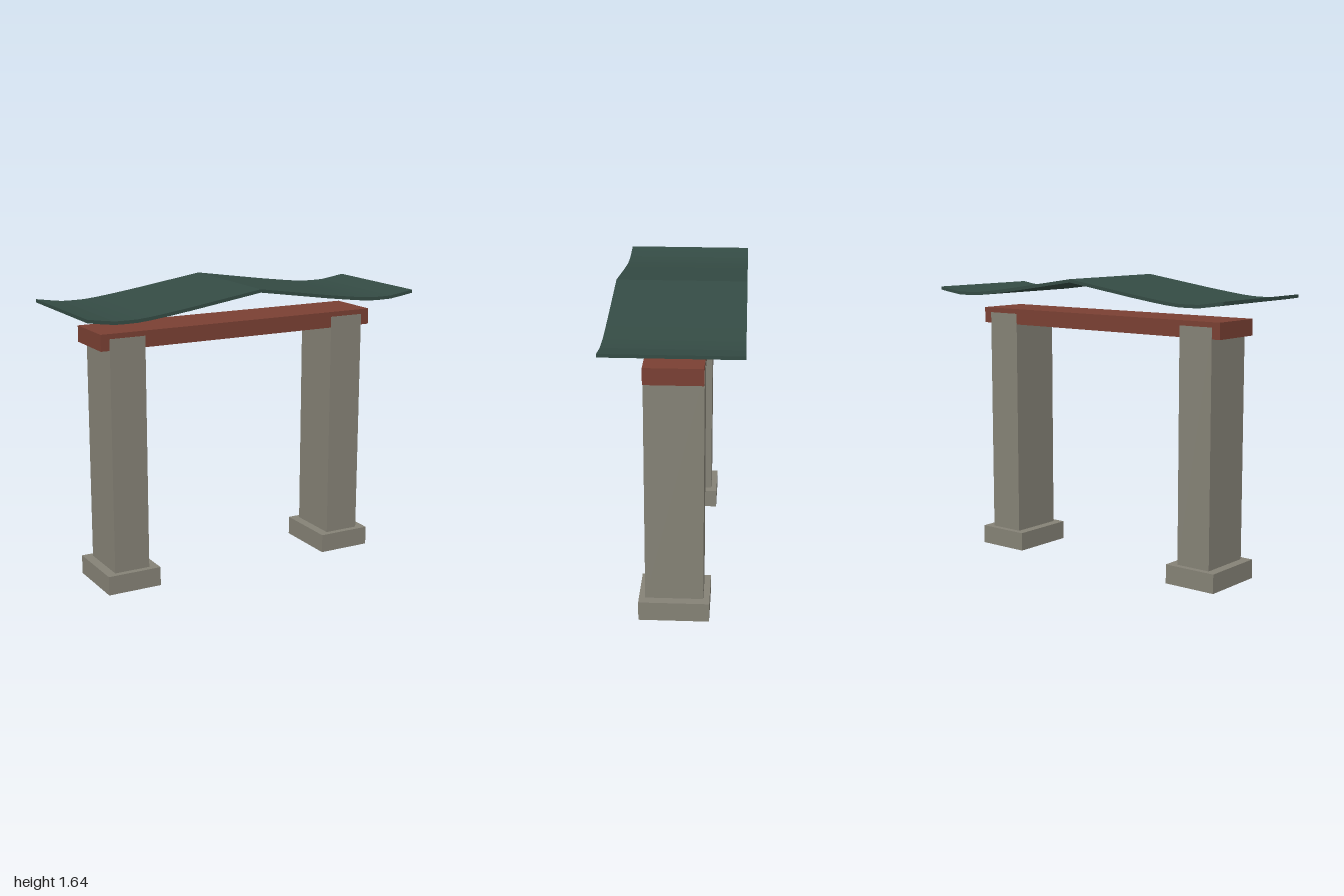
import * as THREE from 'three';

function material(name, color) {
  const m = new THREE.MeshStandardMaterial({ color });
  m.name = name;
  return m;
}

export function createModel() {
  const model = new THREE.Group();
  model.name = 'gate';
  const stone = material('greyStone', 0x858276);
  const wood = material('redWood', 0x7a4033);
  const tile = material('greenTile', 0x344b44);

  const box = (name, mat, w, h, d, x, bottom) => {
    const mesh = new THREE.Mesh(new THREE.BoxGeometry(w, h, d), mat);
    mesh.name = name;
    mesh.position.set(x, bottom + h / 2, 0);
    model.add(mesh);
  };

  // Stone pillars on wider plinths
  for (const [side, s] of [['left', 1], ['right', -1]]) {
    box(side + 'Plinth', stone, 0.312, 0.107, 0.38, s * 0.69, 0);
    box(side + 'Pillar', stone, 0.206, 1.305, 0.312, s * 0.69, 0.107);
  }

  // Crossbeam
  box('crossbeam', wood, 1.686, 0.09, 0.31, 0, 1.35);

  // Sweeping roof: half profile of the top edge, mirrored, with constant thickness
  const half = [[0, 1.643], [0.14, 1.622], [0.28, 1.601], [0.42, 1.58], [0.56, 1.561],
    [0.65, 1.55], [0.72, 1.544], [0.78, 1.543], [0.85, 1.544], [0.93, 1.555], [1, 1.566]];
  const top = [...half.slice(1).reverse().map(([x, y]) => [-x, y]), ...half];
  const bottom = top.map(([x, y]) => [x, y - 0.018]).reverse();
  const outline = new THREE.Shape([...top, ...bottom].map(([x, y]) => new THREE.Vector2(x, y)));
  const roofGeometry = new THREE.ExtrudeGeometry(outline, { depth: 0.72, bevelEnabled: false });
  roofGeometry.translate(0, 0, -0.36);
  const roof = new THREE.Mesh(roofGeometry, tile);
  roof.name = 'roof';
  model.add(roof);

  return model;
}
